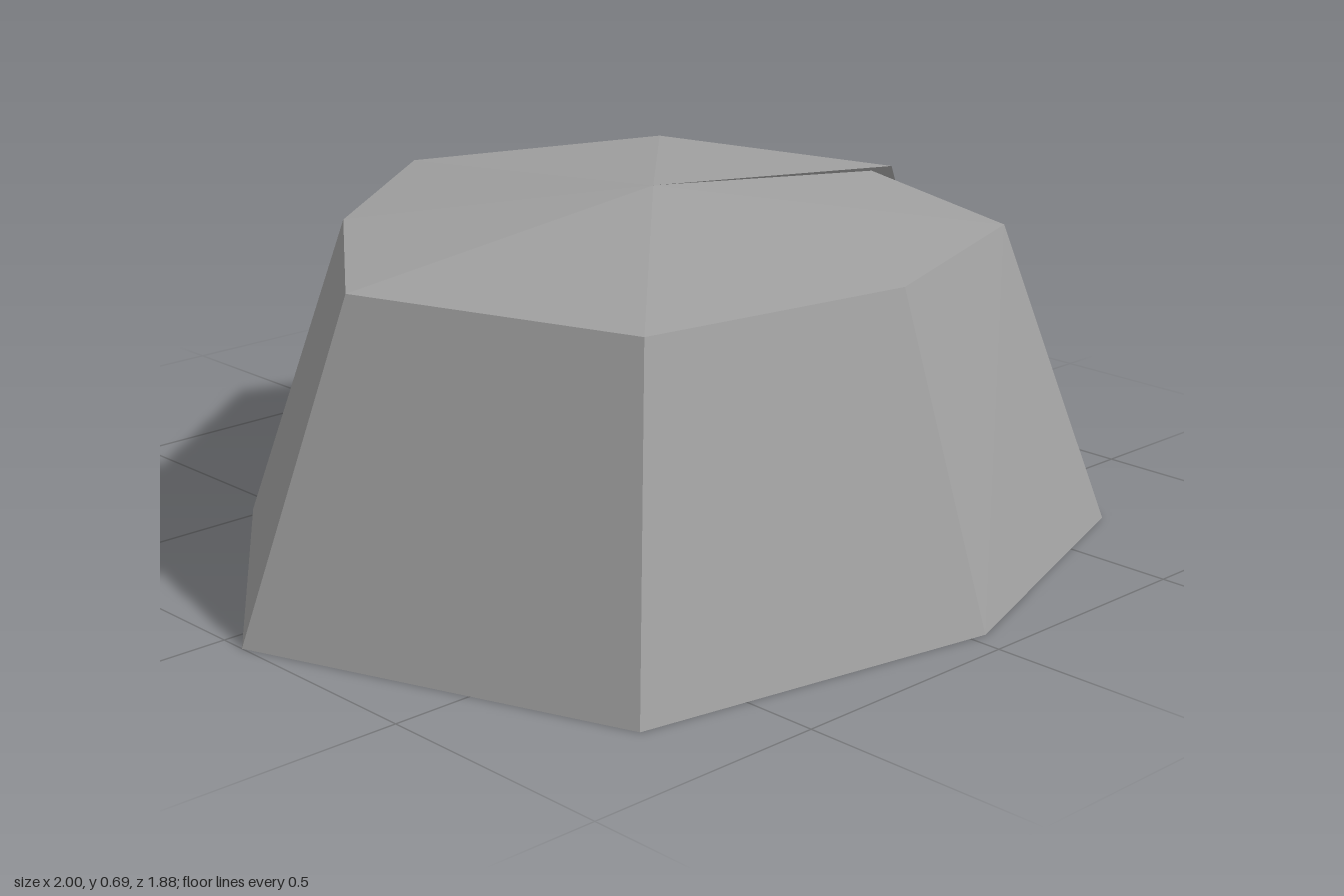
import * as THREE from 'three';

// Radius of each corner, at 45 degree steps from +x round by the back.
// The last corner stops short of the first, leaving a step in the shell.
const RIM = [0.72, 0.8, 0.755, 0.622, 0.775, 0.806, 0.665, 0.7, 0.655];
const BASE = [0.96, 1.06, 1.0, 0.828, 1.035, 1.068, 0.885, 0.926, 0.87];
const RIM_Y = 0.62;
const APEX = new THREE.Vector3(0.035, 0.695, 0.055);

const ring = (radii, y) => radii.map((r, i) => {
  const a = i * Math.PI / 4;
  return new THREE.Vector3(APEX.x + r * Math.cos(a), y, APEX.z - r * Math.sin(a));
});

function facets(name, points, material) {
  const geometry = new THREE.BufferGeometry().setFromPoints(points);
  geometry.computeVertexNormals(); // unshared corners give flat facets
  const mesh = new THREE.Mesh(geometry, material);
  mesh.name = name;
  return mesh;
}

export function createModel() {
  const group = new THREE.Group();
  group.name = 'facetedShell';
  const grey = new THREE.MeshStandardMaterial({ color: 0xa0a0a0 });
  grey.name = 'grey';
  grey.side = THREE.DoubleSide;
  grey.flatShading = true;

  const rim = ring(RIM, RIM_Y);
  const base = ring(BASE, 0);
  const roof = [], walls = [];
  for (let i = 0; i < 8; i++) {
    // Shallow roof facet
    roof.push(APEX, rim[i], rim[i + 1]);
    // Sloping wall panel
    walls.push(base[i], base[i + 1], rim[i + 1], base[i], rim[i + 1], rim[i]);
  }
  group.add(facets('roof', roof, grey), facets('walls', walls, grey));
  return group;
}
